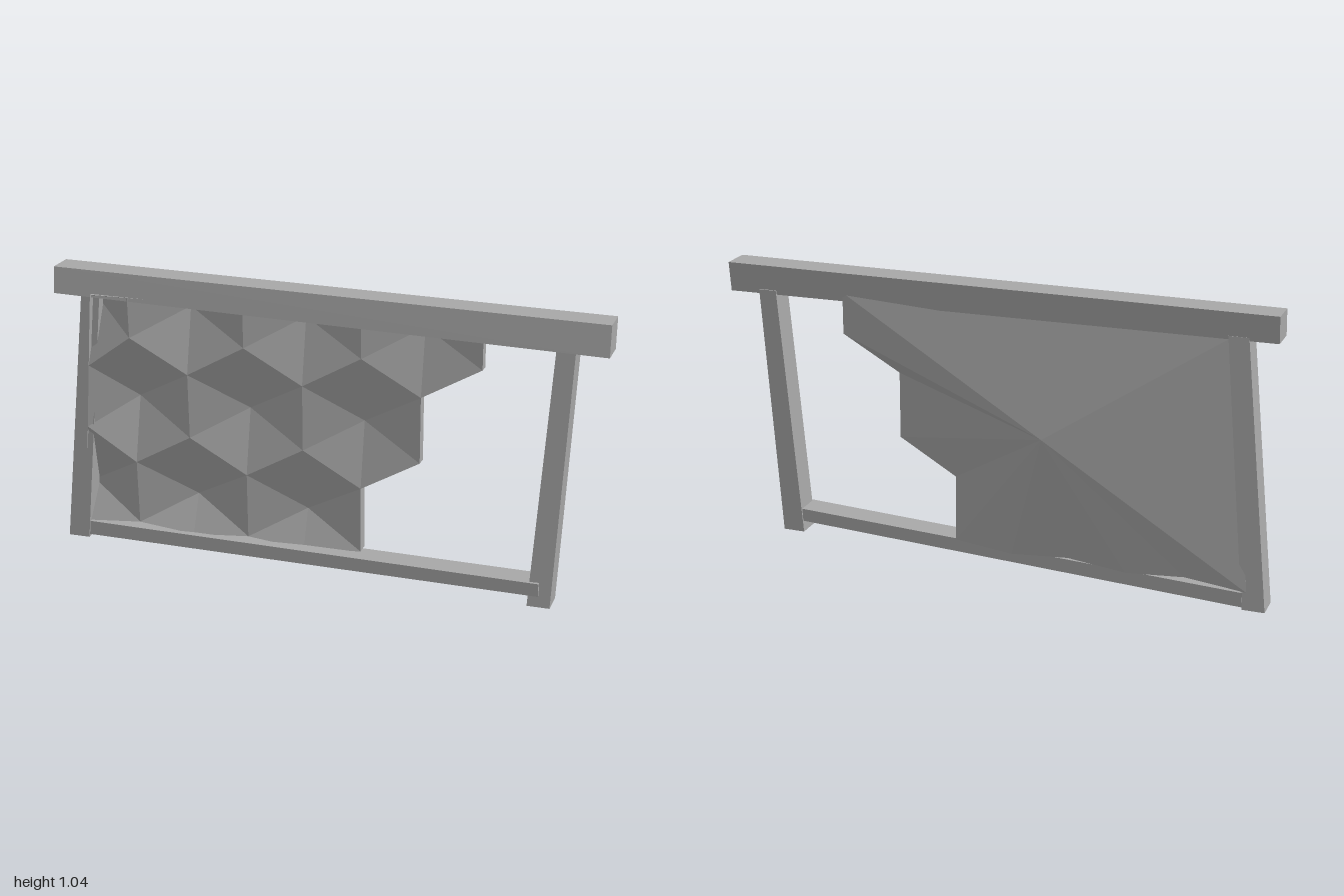
import * as THREE from 'three';
import { ConvexGeometry } from 'three/addons/geometries/ConvexGeometry.js';

const { lerp, clamp } = THREE.MathUtils;
const wood = new THREE.MeshStandardMaterial({ color: 0xa8a8a8 });
wood.name = 'grey';

// A slightly crooked beam spanning eight corners
function beam(name, corners) {
  const mesh = new THREE.Mesh(
    new ConvexGeometry(corners.map((c) => new THREE.Vector3(...c))), wood);
  mesh.name = name;
  return mesh;
}

// Corners of a post end: level rectangle at height y
const level = (y, x0, x1, z0, z1) => [[x0, y, z0], [x1, y, z0], [x1, y, z1], [x0, y, z1]];
// Corners of a bar end: upright rectangle at x, with the top leaning back
const upright = (x, y0, y1, z0, z1, lean = 0) =>
  [[x, y0, z0], [x, y0, z1], [x, y1, z1 - lean], [x, y1, z0 - lean]];

// Blend between the four corners of the comb
function blend(x, y, topLeft, topRight, bottomLeft, bottomRight) {
  const u = clamp((x + 0.9) / 1.3, 0, 1);
  const v = clamp((y - 0.08) / 0.87, 0, 1);
  return lerp(lerp(bottomLeft, bottomRight, u), lerp(topLeft, topRight, u), v);
}
const rimZ = (x, y) => blend(x, y, 0.05, 0, -0.01, 0.005);
const backZ = (x, y) => blend(x, y, -0.045, -0.038, -0.092, -0.037);
const cellDepth = (x) => lerp(0.075, 0.045, clamp((x + 0.9) / 1.1, 0, 1));

// Keep comb points within the frame opening
function fit(x, y) {
  const fy = clamp(y, 0.07, 0.96);
  return [Math.max(x, lerp(-0.94, -0.85, fy)), fy];
}

function createComb() {
  const positions = [];
  const tri = (...points) => points.forEach((p) => positions.push(...p));
  const front = (x, y) => { const [a, b] = fit(x, y); return [a, b, rimZ(a, b)]; };
  const back = (x, y) => { const [a, b] = fit(x, y); return [a, b, backZ(a, b)]; };

  // Sunken hexagonal cells
  const step = 0.425, radius = 0.24, half = step / 2;
  const ring = [[0, radius], [-half, radius / 2], [-half, -radius / 2],
    [0, -radius], [half, -radius / 2], [half, radius / 2]];
  const rows = [
    { y: 0.93, x: -0.9275, count: 4 },
    { y: 0.57, x: -0.715, count: 3 },
    { y: 0.21, x: -0.9275, count: 3 },
  ];
  for (const row of rows) {
    for (let k = 0; k < row.count; k++) {
      const cx = row.x + k * step;
      const centre = front(cx, row.y);
      centre[2] -= cellDepth(cx);
      ring.forEach(([dx, dy], i) => {
        const [ex, ey] = ring[(i + 1) % 6];
        tri(centre, front(cx + dx, row.y + dy), front(cx + ex, row.y + ey));
      });
    }
  }

  // Side walls and the faceted back that rises to one point
  const outline = [[0.56, 0.96], [0.56, 0.81], [0.3475, 0.69], [0.3475, 0.45],
    [0.135, 0.33], [0.135, 0.09], [-0.0775, 0.07], [-0.29, 0.09], [-0.5025, 0.07],
    [-0.715, 0.09], [-0.94, 0.07], [-0.94, 0.33], [-0.94, 0.69], [-0.94, 0.96]];
  const apex = [-0.2, 0.53, -0.103];
  outline.forEach((a, i) => {
    const b = outline[(i + 1) % outline.length];
    tri(front(...a), front(...b), back(...b));
    tri(front(...a), back(...b), back(...a));
    tri(back(...a), back(...b), apex);
  });

  const geometry = new THREE.BufferGeometry();
  geometry.setAttribute('position', new THREE.Float32BufferAttribute(positions, 3));
  geometry.computeVertexNormals();
  const mesh = new THREE.Mesh(geometry, wood);
  mesh.name = 'comb';
  return mesh;
}

export function createModel() {
  const group = new THREE.Group();
  group.name = 'combFrame';
  group.add(
    beam('topBar', [...upright(-1, 0.95, 1.045, -0.068, 0.035, 0.01),
      ...upright(1, 0.922, 1.03, -0.027, 0.08, 0.014)]),
    beam('leftPost', [...level(0.005, -1, -0.92, -0.092, 0),
      ...level(0.96, -0.9, -0.83, -0.068, 0.02)]),
    beam('rightPost', [...level(0.01, 0.76, 0.84, 0, 0.093),
      ...level(0.94, 0.82, 0.885, -0.037, 0.055)]),
    beam('bottomBar', [...upright(-0.92, 0.015, 0.068, -0.095, -0.005),
      ...upright(0.8, 0.053, 0.1, 0.005, 0.102)]),
    createComb(),
  );
  return group;
}
